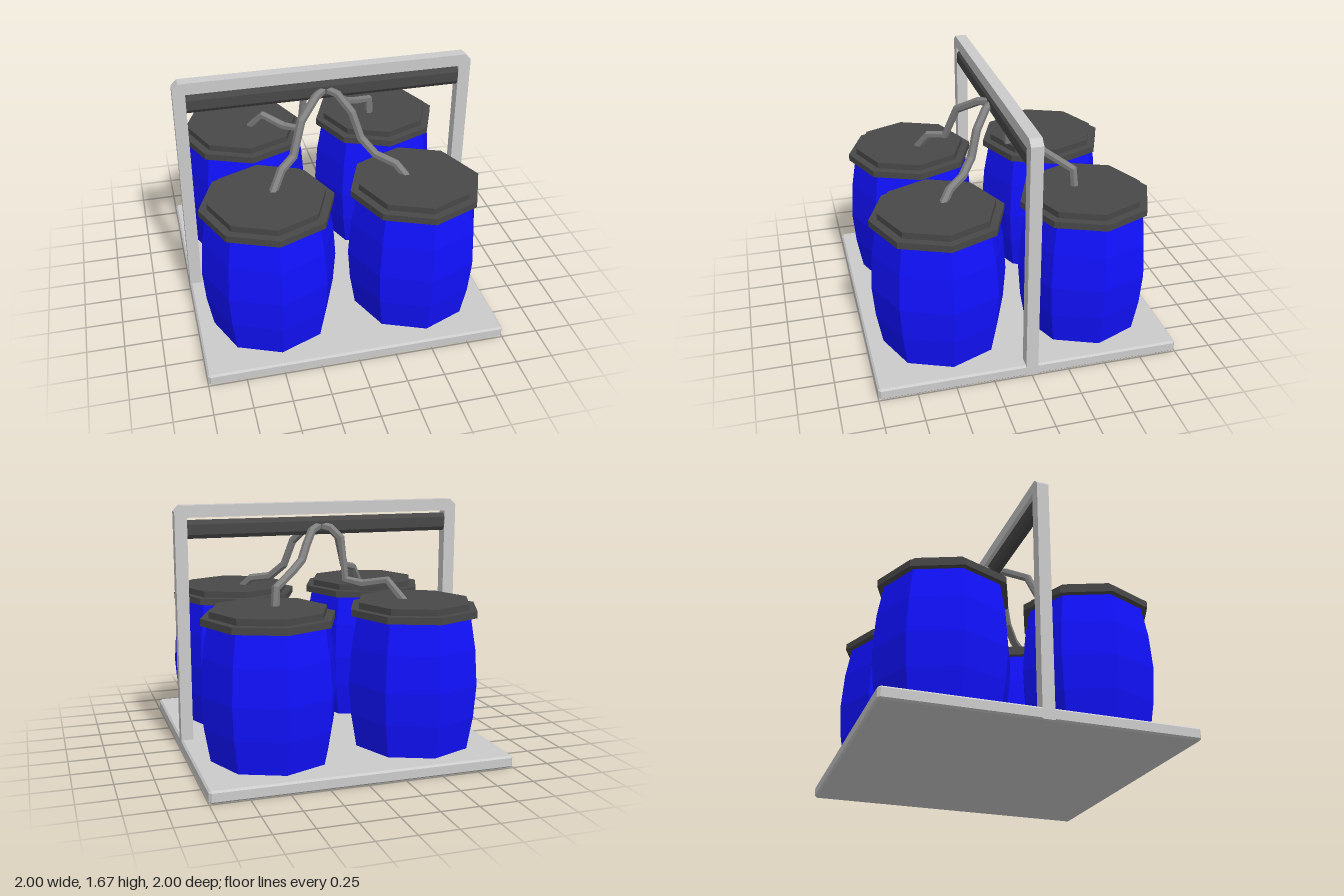
import * as THREE from 'three';

const mat = (color, extra = {}) => new THREE.MeshStandardMaterial({ color, flatShading: true, ...extra });
const grey = mat(0xcccccc);
const blue = mat(0x1111ff);
const dark = mat(0x484848);
const hoseGrey = mat(0x808080, { side: THREE.DoubleSide });

function add(parent, name, geometry, material) {
  const mesh = new THREE.Mesh(geometry, material);
  mesh.name = name;
  parent.add(mesh);
  return mesh;
}

const polygon = (points) => new THREE.Shape(points.map(([x, y]) => new THREE.Vector2(x, y)));

// Rectangle of half sizes a, b with cut corners
const cutRect = (a, b, ca, cb = ca) => polygon([
  [a - ca, -b], [a, -b + cb], [a, b - cb], [a - ca, b],
  [-a + ca, b], [-a, b - cb], [-a, -b + cb], [-a + ca, -b],
]);

// Straight-segmented path: the tube gets one ring at each point
class Polyline extends THREE.Curve {
  constructor(points) {
    super();
    this.points = points;
  }
  getPointAt(u, target = new THREE.Vector3()) {
    return target.copy(this.points[Math.round(u * (this.points.length - 1))]);
  }
  getTangentAt(u, target = new THREE.Vector3()) {
    const p = this.points, last = p.length - 1, i = Math.round(u * last);
    const before = p[i].clone().sub(p[Math.max(i - 1, 0)]).normalize();
    const after = p[Math.min(i + 1, last)].clone().sub(p[i]).normalize();
    return target.copy(before).add(after).normalize();
  }
}

// Eight-sided barrel with a stepped lid
function createBarrel() {
  const barrel = new THREE.Group();
  barrel.name = 'barrel';
  const profile = [[0, 0.07], [0.393, 0.07], [0.433, 0.3], [0.45, 0.52], [0.433, 0.76], [0.395, 0.98], [0, 0.98]]
    .map(([r, y]) => new THREE.Vector2(r, y));
  add(barrel, 'barrelBody', new THREE.LatheGeometry(profile, 8), blue);
  add(barrel, 'lidRim', new THREE.CylinderGeometry(0.44, 0.44, 0.045, 8), dark).position.y = 0.988;
  add(barrel, 'lidTop', new THREE.CylinderGeometry(0.385, 0.385, 0.045, 8), dark).position.y = 1.03;
  return barrel;
}

// Hose bending outward along a diagonal; profile is [offset, height]
function createHose(sx, sz, profile) {
  const points = profile.map(([d, y]) => new THREE.Vector3(sx * d, y, sz * d));
  return new THREE.TubeGeometry(new Polyline(points), points.length - 1, 0.029, 6);
}

export function createModel() {
  const model = new THREE.Group();
  model.name = 'barrelRack';

  // Base plate with softened edges
  const bevel = 0.012;
  const plate = new THREE.ExtrudeGeometry(cutRect(1 - bevel, 1 - bevel, 0.01), {
    depth: 0.08 - 2 * bevel, bevelSize: bevel, bevelThickness: bevel, bevelSegments: 1,
  });
  plate.rotateX(-Math.PI / 2);
  add(model, 'basePlate', plate, grey).position.y = bevel;

  // Upright frame with cut top corners
  const outline = polygon([
    [-1, 0.005], [-0.918, 0.005], [-0.918, 1.59], [0.918, 1.59], [0.918, 0.005], [1, 0.005],
    [1, 1.63], [0.96, 1.67], [-0.96, 1.67], [-1, 1.63],
  ]);
  const frame = new THREE.ExtrudeGeometry(outline, { depth: 0.08, bevelEnabled: false });
  add(model, 'frame', frame, grey).position.z = -0.04;

  // Dark manifold pipe hung between the posts
  const pipe = new THREE.ExtrudeGeometry(cutRect(0.038, 0.06, 0.018, 0.026), { depth: 1.84, bevelEnabled: false });
  pipe.translate(0, 0, -0.92).rotateY(Math.PI / 2);
  add(model, 'manifoldPipe', pipe, dark).position.y = 1.51;

  // Four barrels
  for (const x of [-0.494, 0.494]) {
    for (const z of [-0.494, 0.494]) {
      const barrel = createBarrel();
      barrel.position.set(x, 0, z);
      model.add(barrel);
    }
  }

  // One hose for each barrel, each bent in its own way
  const hoses = {
    frontRightHose: [-1, 1, [[0.015, 1.51], [0.08, 1.495], [0.205, 1.40], [0.275, 1.185], [0.375, 1.155], [0.45, 1.03]]],
    backRightHose: [-1, -1, [[0.015, 1.505], [0.06, 1.495], [0.115, 1.43], [0.14, 1.15], [0.235, 1.13], [0.36, 1.165], [0.45, 1.03]]],
    frontLeftHose: [1, 1, [[0.005, 1.51], [0.07, 1.495], [0.15, 1.39], [0.2, 1.22], [0.28, 1.13], [0.39, 1.105], [0.45, 1.03]]],
    backLeftHose: [1, -1, [[0.005, 1.51], [0.08, 1.485], [0.135, 1.40], [0.185, 1.3], [0.28, 1.24], [0.43, 1.165], [0.44, 1.03]]],
  };
  for (const [name, [sx, sz, profile]] of Object.entries(hoses)) {
    add(model, name, createHose(sx, sz, profile), hoseGrey);
  }

  return model;
}
